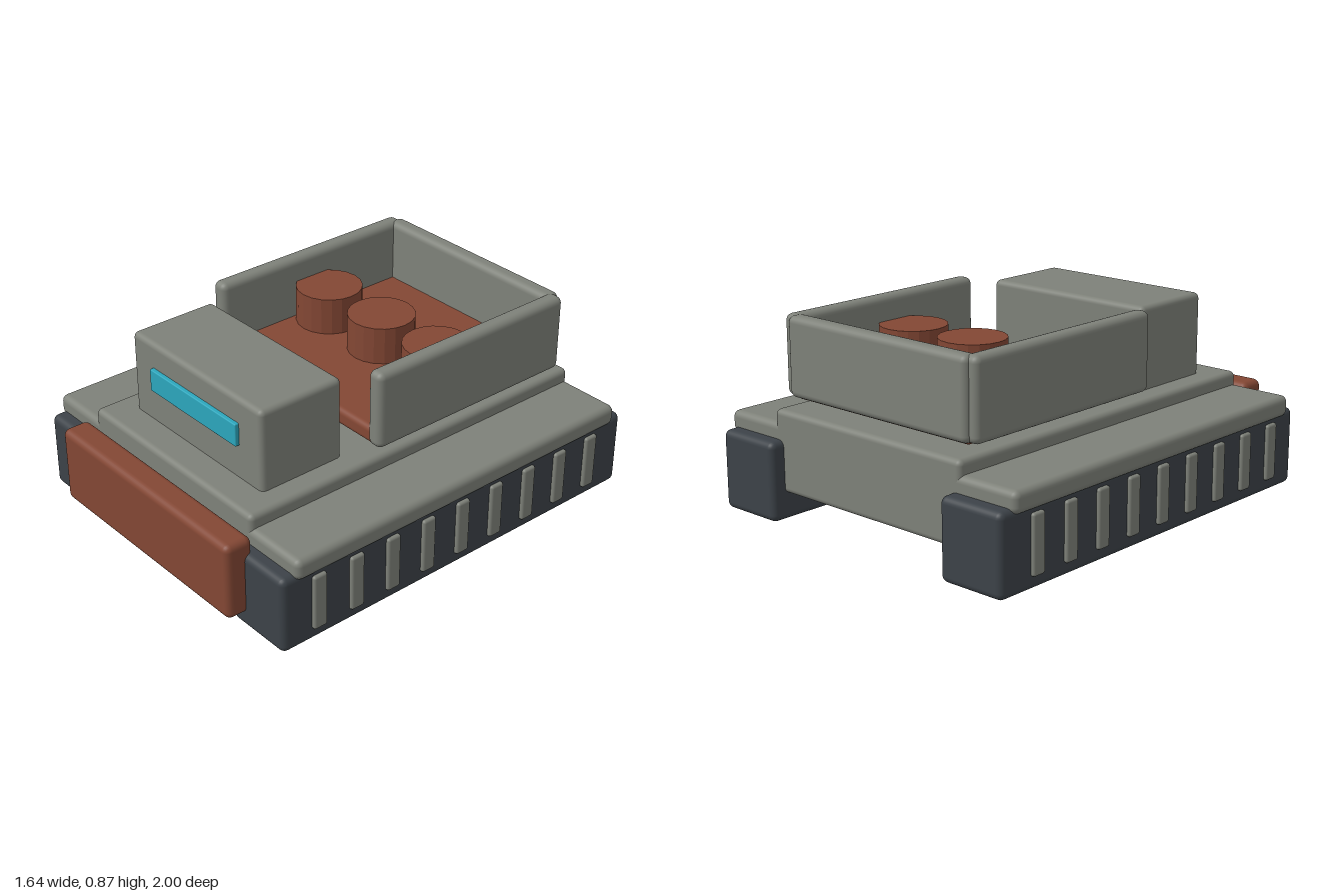
import * as THREE from 'three';
import { RoundedBoxGeometry } from 'three/addons/geometries/RoundedBoxGeometry.js';

const material = (name, color) => {
  const m = new THREE.MeshStandardMaterial({ color });
  m.name = name;
  return m;
};

// Rounded box given by its [min, max] range on each axis
function block(parent, name, mat, [x0, x1], [y0, y1], [z0, z1], radius) {
  const geo = new RoundedBoxGeometry(x1 - x0, y1 - y0, z1 - z0, 3, radius);
  const mesh = new THREE.Mesh(geo, mat);
  mesh.position.set((x0 + x1) / 2, (y0 + y1) / 2, (z0 + z1) / 2);
  mesh.name = name;
  parent.add(mesh);
  return mesh;
}

export function createModel() {
  const model = new THREE.Group();
  model.name = 'trackedHauler';

  const grey = material('hullGrey', 0x7e8179);
  const dark = material('trackDark', 0x3c4248);
  const rust = material('rustBrown', 0x834734);
  const glass = material('windowCyan', 0x2ca6bc);
  const flatRust = material('barrelRust', 0x834734);
  flatRust.flatShading = true;

  // Hull and front plough
  block(model, 'hull', grey, [-0.535, 0.535], [0.12, 0.48], [-0.935, 0.85], 0.025);
  block(model, 'plough', rust, [-0.573, 0.573], [0.07, 0.42], [0.87, 1.0], 0.03);

  // Tracks, fenders and tread ribs on both sides
  for (const side of [-1, 1]) {
    const span = (a, b) => (side > 0 ? [a, b] : [-b, -a]);
    const running = new THREE.Group();
    running.name = side > 0 ? 'leftTrack' : 'rightTrack';
    model.add(running);
    block(running, 'track', dark, span(0.483, 0.803), [0, 0.35], [-1.0, 0.913], 0.03);
    block(running, 'fender', grey, span(0.48, 0.82), [0.325, 0.42], [-0.935, 0.85], 0.03);
    for (let i = 0; i < 9; i++) {
      const z = 0.733 - i * 0.1917;
      block(running, 'treadRib', grey, span(0.77, 0.82), [0.058, 0.312], [z - 0.034, z + 0.034], 0.012);
    }
  }

  // Cab with its window strip
  block(model, 'cab', grey, [-0.43, 0.43], [0.43, 0.848], [0.295, 0.708], 0.025);
  block(model, 'window', glass, [-0.288, 0.288], [0.632, 0.735], [0.7, 0.727], 0.005);

  // Cargo bed
  const bed = new THREE.Group();
  bed.name = 'cargoBed';
  model.add(bed);
  block(bed, 'bedFloor', rust, [-0.5, 0.5], [0.51, 0.59], [-0.85, 0.18], 0.025);
  block(bed, 'leftWall', grey, [0.47, 0.55], [0.52, 0.87], [-0.855, 0.198], 0.03);
  block(bed, 'rightWall', grey, [-0.55, -0.47], [0.52, 0.87], [-0.855, 0.198], 0.03);
  block(bed, 'backWall', grey, [-0.51, 0.51], [0.52, 0.87], [-0.875, -0.795], 0.03);

  // Row of barrels
  for (const x of [-0.35, 0, 0.35]) {
    const barrel = new THREE.Mesh(new THREE.CylinderGeometry(0.15, 0.15, 0.2, 20), flatRust);
    barrel.position.set(x, 0.66, -0.3);
    barrel.name = 'barrel';
    bed.add(barrel);
  }

  return model;
}
